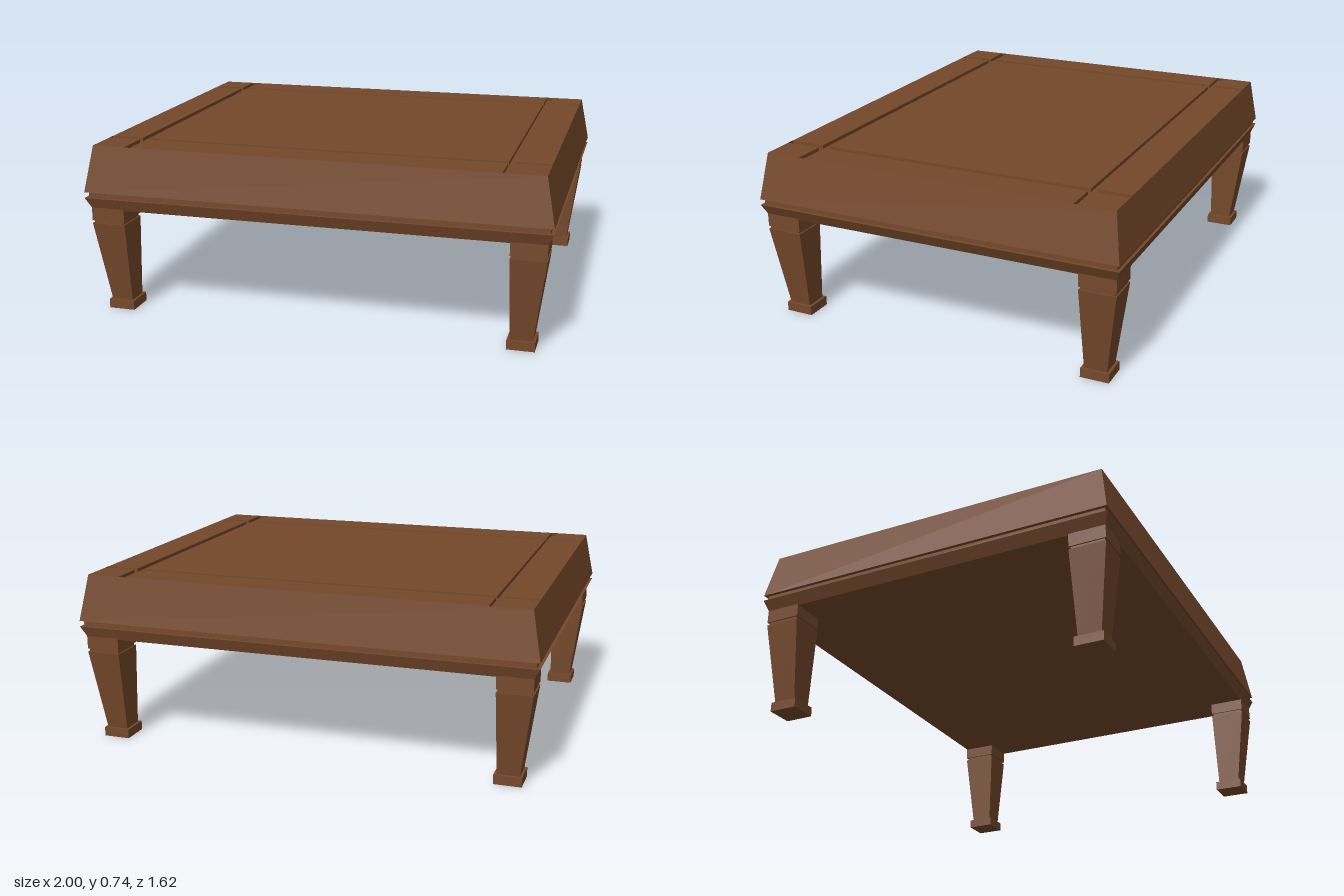
import * as THREE from 'three';

const wood = new THREE.MeshStandardMaterial({ color: 0x75482a });
const thinWood = new THREE.MeshStandardMaterial({ color: 0x75482a, side: THREE.DoubleSide });

// Box between y0 and y1 whose bottom and top are rectangles [x0, x1, z0, z1]
function taper(name, y0, y1, bottom, top = bottom) {
  const geometry = new THREE.BoxGeometry(1, 1, 1);
  const p = geometry.attributes.position;
  for (let i = 0; i < p.count; i++) {
    const up = p.getY(i) > 0;
    const r = up ? top : bottom;
    p.setXYZ(i, p.getX(i) > 0 ? r[1] : r[0], up ? y1 : y0, p.getZ(i) > 0 ? r[3] : r[2]);
  }
  geometry.computeVertexNormals();
  const mesh = new THREE.Mesh(geometry, wood);
  mesh.name = name;
  return mesh;
}

const centred = (hx, hz) => [-hx, hx, -hz, hz];

export function createModel() {
  const table = new THREE.Group();
  table.name = 'lowTable';

  // Sloping sides of the top, open above so the inlay grooves can sink in
  const sides = taper('topSides', 0.54, 0.742, centred(1, 0.812), centred(0.961, 0.781));
  const index = Array.from(sides.geometry.index.array);
  index.splice(12, 6);
  sides.geometry.setIndex(index);
  sides.geometry.clearGroups();
  sides.material = thinWood;
  table.add(sides);

  // Groove floor and the nine raised panels
  table.add(taper('grooveFloor', 0.7, 0.727, centred(0.961, 0.781)));
  const xs = [[-0.961, -0.817], [-0.786, 0.786], [0.817, 0.961]];
  const zs = [[-0.781, -0.638], [-0.609, 0.596], [0.625, 0.781]];
  const panels = new THREE.Group();
  panels.name = 'topPanels';
  for (const x of xs) {
    for (const z of zs) panels.add(taper('panel', 0.715, 0.742, [...x, ...z]));
  }
  table.add(panels);

  // Recessed band and lower moulding
  table.add(taper('recessedBand', 0.51, 0.545, centred(0.985, 0.8)));
  table.add(taper('lowerMoulding', 0.465, 0.515, centred(0.974, 0.794), centred(1, 0.812)));

  // Four tapered legs, each with a collar, a neck groove and a foot
  for (const sx of [-1, 1]) {
    for (const sz of [-1, 1]) {
      const rect = (xi, xo, zi, zo) => [
        Math.min(sx * xi, sx * xo), Math.max(sx * xi, sx * xo),
        Math.min(sz * zi, sz * zo), Math.max(sz * zi, sz * zo),
      ];
      const leg = new THREE.Group();
      leg.name = `${sz > 0 ? 'front' : 'back'}${sx > 0 ? 'Left' : 'Right'}Leg`;
      const full = rect(0.828, 0.977, 0.639, 0.796);
      leg.add(
        taper('collar', 0.413, 0.47, full),
        taper('neckGroove', 0.395, 0.416, rect(0.834, 0.971, 0.645, 0.79)),
        taper('shaft', 0.035, 0.4, rect(0.834, 0.928, 0.65, 0.747), full),
        taper('foot', 0, 0.04, rect(0.822, 0.939, 0.637, 0.76)),
      );
      table.add(leg);
    }
  }
  return table;
}
